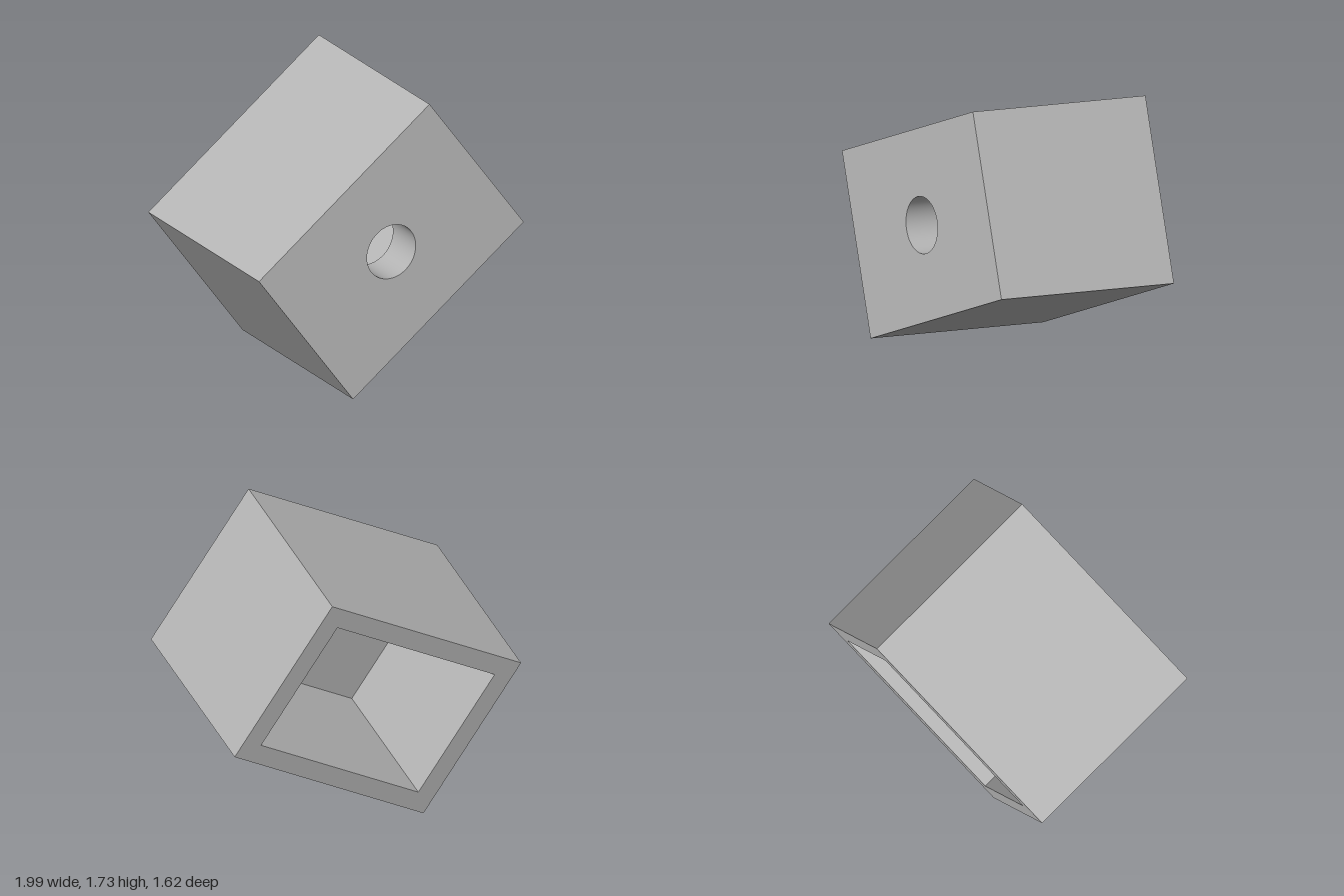
import * as THREE from 'three';

const W = 1.355, H = 1.036, D = 1.118;   // outer size of the block
const WALL = 0.113, FRONT = 0.23;        // side wall and front wall thickness
const R = 0.157;                         // radius of the front hole

const rect = (Type, w, h) => new Type([
  new THREE.Vector2(-w / 2, -h / 2), new THREE.Vector2(w / 2, -h / 2),
  new THREE.Vector2(w / 2, h / 2), new THREE.Vector2(-w / 2, h / 2),
]);
const circle = () => new THREE.Path().absarc(0, 0, R, 0, Math.PI * 2);

// Flat sheet with one opening
function sheet(w, h, opening, z) {
  const shape = rect(THREE.Shape, w, h);
  shape.holes.push(opening);
  return new THREE.ShapeGeometry(shape, 32).translate(0, 0, z);
}

// Four side faces of a box, open at front and back
function tube(w, h, d) {
  const g = new THREE.BoxGeometry(w, h, d);
  g.setIndex(Array.from(g.index.array).slice(0, 24));
  g.clearGroups();
  return g;
}

// Turn a surface inside out
function flip(g) {
  g.setIndex(Array.from(g.index.array).reverse());
  const n = g.attributes.normal;
  for (let i = 0; i < n.count; i++) n.setXYZ(i, -n.getX(i), -n.getY(i), -n.getZ(i));
  return g;
}

export function createModel() {
  const model = new THREE.Group();
  model.name = 'tiltedHousing';
  const grey = new THREE.MeshStandardMaterial({ color: 0xb8b8b8 });
  grey.name = 'grey';
  const add = (name, geometry) => {
    const mesh = new THREE.Mesh(geometry, grey);
    mesh.name = name;
    model.add(mesh);
  };

  const iw = W - 2 * WALL, ih = H - 2 * WALL, depth = D - FRONT;
  const innerZ = D / 2 - FRONT;

  // Outside
  add('outerWalls', tube(W, H, D));
  add('frontFace', sheet(W, H, circle(), D / 2));
  add('backRim', flip(sheet(W, H, rect(THREE.Path, iw, ih), -D / 2)));

  // Pocket open to the back
  add('pocketWalls', flip(tube(iw, ih, depth).translate(0, 0, -FRONT / 2)));
  add('pocketEnd', flip(sheet(iw, ih, circle(), innerZ)));

  // Round hole through the front wall
  const bore = new THREE.CylinderGeometry(R, R, FRONT, 64, 1, true);
  add('frontHole', flip(bore.rotateX(Math.PI / 2).translate(0, 0, D / 2 - FRONT / 2)));

  // Tilt the block so it balances on one corner
  const forward = new THREE.Vector3(0.41, 0.175, 1.025).normalize();
  const side = new THREE.Vector3(1.05, 0.67, -0.535);
  side.addScaledVector(forward, -side.dot(forward)).normalize();
  const up = new THREE.Vector3().crossVectors(forward, side);
  model.quaternion.setFromRotationMatrix(new THREE.Matrix4().makeBasis(side, up, forward));
  model.position.y = 0.872;
  return model;
}
